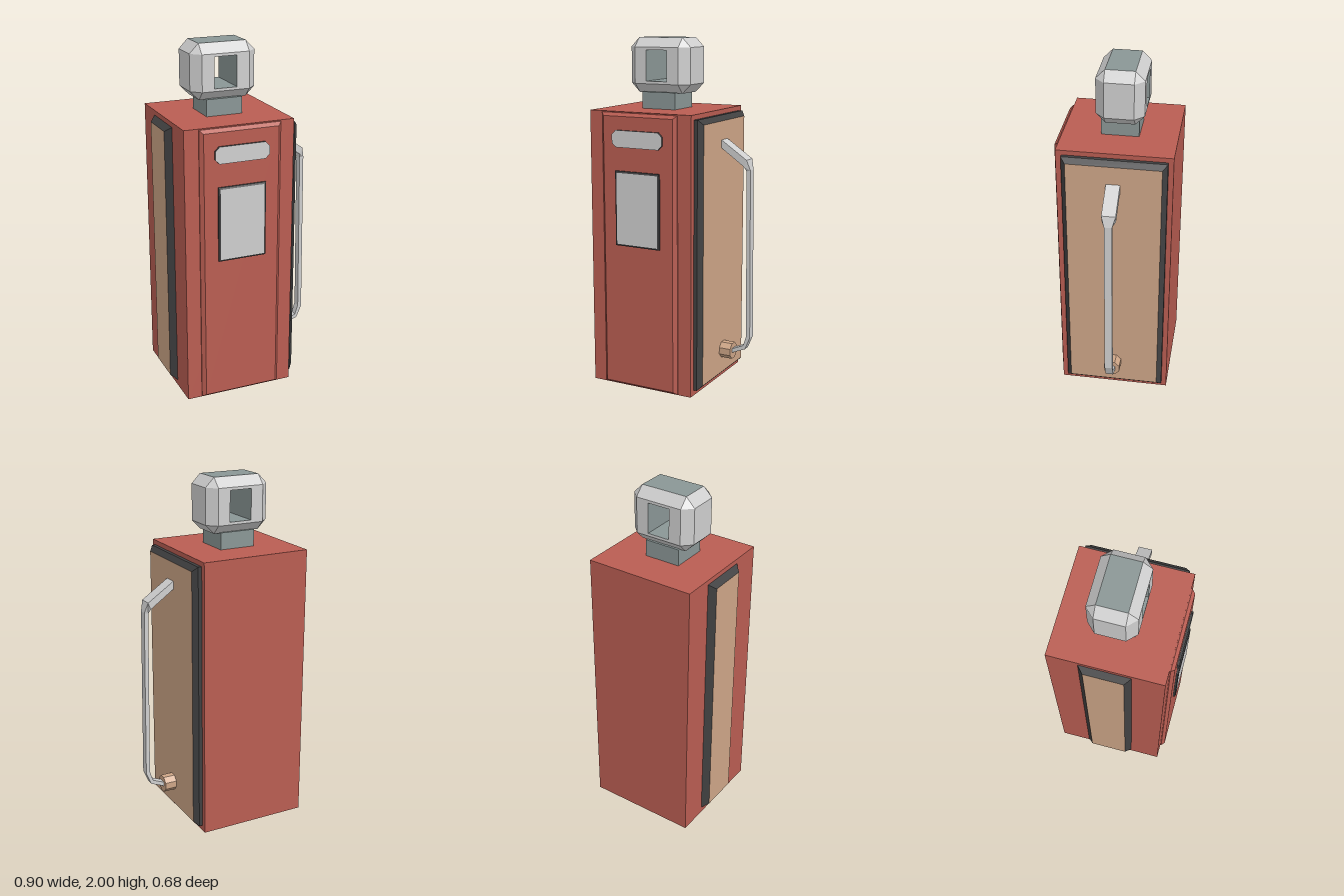
import * as THREE from 'three';

const mat = (name, color) => {
  const m = new THREE.MeshStandardMaterial({ color });
  m.name = name;
  return m;
};

// Ring of 8 points: a rectangle with corners cut by c, counter-clockwise, at depth z
function rect(x0, x1, y0, y1, z, c = 0) {
  return [
    [x0 + c, y0, z], [x1 - c, y0, z], [x1, y0 + c, z], [x1, y1 - c, z],
    [x1 - c, y1, z], [x0 + c, y1, z], [x0, y1 - c, z], [x0, y0 + c, z],
  ].map(p => new THREE.Vector3(...p));
}

// Flat-faced skin through rings; group 0 is the sides, group 1 the end caps
function loft(rings, { caps = true, skip = () => false, inward = false } = {}) {
  const pos = [];
  const tri = (a, b, c) => {
    if (new THREE.Triangle(a, b, c).getArea() < 1e-8) return;
    for (const v of inward ? [a, c, b] : [a, b, c]) pos.push(v.x, v.y, v.z);
  };
  const n = rings[0].length;
  for (let k = 0; k < rings.length - 1; k++) {
    for (let i = 0; i < n; i++) {
      if (skip(k, i)) continue;
      const j = (i + 1) % n, A = rings[k], B = rings[k + 1];
      tri(A[i], A[j], B[j]);
      tri(A[i], B[j], B[i]);
    }
  }
  const sideCount = pos.length / 3;
  if (caps) {
    const s = rings[0], e = rings[rings.length - 1];
    for (let i = 1; i < n - 1; i++) {
      tri(s[0], s[i + 1], s[i]);
      tri(e[0], e[i], e[i + 1]);
    }
  }
  const g = new THREE.BufferGeometry();
  g.setAttribute('position', new THREE.Float32BufferAttribute(pos, 3));
  g.addGroup(0, sideCount, 0);
  g.addGroup(sideCount, pos.length / 3 - sideCount, 1);
  g.computeVertexNormals();
  return g;
}

export function createModel() {
  const red = mat('red paint', 0xb95d52);
  const tan = mat('tan panel', 0xcda587);
  const dark = mat('dark trim', 0x404041);
  const grey = mat('light grey', 0xcfcfcf);
  const slate = mat('slate grey', 0x8a9695);

  const model = new THREE.Group();
  const add = (name, geometry, material, parent = model) => {
    const m = new THREE.Mesh(geometry, material);
    m.name = name;
    parent.add(m);
    return m;
  };

  // Cabinet
  add('cabinet', new THREE.BoxGeometry(0.64, 1.6, 0.64), red).position.set(-0.1, 0.8, -0.02);

  // Raised front panel with bevelled edge
  add('frontPanel', loft([
    rect(-0.337, 0.138, 0.005, 1.594, 0.29),
    rect(-0.337, 0.138, 0.005, 1.594, 0.306),
    rect(-0.318, 0.119, 0.02, 1.576, 0.325),
  ]), red);

  // Name plate and display window: dark rims with grey faces
  add('namePlate', loft([
    rect(-0.257, 0.059, 1.405, 1.5, 0.32, 0.024),
    rect(-0.257, 0.059, 1.405, 1.5, 0.338, 0.024),
  ]), [dark, grey]);
  add('displayWindow', loft([
    rect(-0.239, 0.04, 0.845, 1.272, 0.32),
    rect(-0.239, 0.04, 0.845, 1.272, 0.336),
    rect(-0.229, 0.03, 0.855, 1.262, 0.34),
  ]), [dark, grey]);

  // Side panels: dark bevelled frames with tan faces
  add('leftSidePanel', loft([
    rect(-0.267, 0.311, 0.033, 1.573, 0.21),
    rect(-0.267, 0.311, 0.033, 1.573, 0.241),
    rect(-0.241, 0.284, 0.058, 1.545, 0.266),
  ]), [dark, tan]).rotation.y = Math.PI / 2;
  add('rightSidePanel', loft([
    rect(-0.167, 0.122, 0.033, 1.573, 0.41),
    rect(-0.167, 0.122, 0.033, 1.573, 0.42),
    rect(-0.134, 0.089, 0.058, 1.545, 0.454),
  ]), [dark, tan]).rotation.y = -Math.PI / 2;

  // Neck
  add('neck', new THREE.BoxGeometry(0.21, 0.1, 0.21), slate).position.set(-0.1, 1.645, -0.02);

  // Head: chamfered block with a square opening from front to back
  const head = new THREE.Group();
  head.name = 'head';
  head.position.set(-0.1, 0, -0.025);
  model.add(head);
  const cut = 0.052, hx = 0.19, hz = 0.134, y1 = 1.742, y2 = 1.947;
  const ends = y => rect(-hx + cut, hx - cut, -hz + cut, hz - cut, y);
  const middle = y => rect(-hx, hx, -hz, hz, y, cut);
  add('headShell', loft([ends(1.69), middle(y1), middle(y2), ends(2)],
    { skip: (k, i) => k === 1 && i % 4 === 0 }), [grey, slate], head).rotation.x = -Math.PI / 2;

  const hole = [[-0.066, 1.757], [0.066, 1.757], [0.066, 1.931], [-0.066, 1.931]];
  const fx = hx - cut;
  const face = new THREE.Shape([[-fx, y1], [fx, y1], [fx, y2], [-fx, y2]]
    .map(p => new THREE.Vector2(...p)));
  face.holes.push(new THREE.Path(hole.map(p => new THREE.Vector2(...p))));
  const faceGeometry = new THREE.ShapeGeometry(face);
  for (const s of [1, -1]) {
    const f = add(s > 0 ? 'headFront' : 'headBack', faceGeometry, grey, head);
    f.position.z = s * hz;
    f.rotation.y = s > 0 ? 0 : Math.PI;
  }
  const holeRing = z => hole.map(([x, y]) => new THREE.Vector3(x, y, z));
  add('headOpening', loft([holeRing(-hz), holeRing(hz)], { caps: false, inward: true }),
    [slate, slate], head);

  // Hose: [outer x, outer y, inner x, inner y, half width] from handle to socket
  const hose = [
    [0.25, 1.45, 0.25, 1.405, 0.039],
    [0.42, 1.335, 0.405, 1.296, 0.039],
    [0.437, 1.275, 0.413, 1.27, 0.022],
    [0.448, 0.3, 0.425, 0.305, 0.022],
    [0.418, 0.227, 0.406, 0.247, 0.022],
    [0.325, 0.188, 0.325, 0.212, 0.022],
  ].map(([ox, oy, ix, iy, w]) => [
    [ox, oy, -w], [ix, iy, -w], [ix, iy, w], [ox, oy, w],
  ].map(p => new THREE.Vector3(...p)));
  add('hose', loft(hose, { inward: true }), [grey, grey]).position.z = -0.02;

  // Octagonal hose socket
  const socketGeometry = new THREE.CylinderGeometry(0.05, 0.05, 0.075, 8).toNonIndexed();
  socketGeometry.computeVertexNormals();
  const socket = add('hoseSocket', socketGeometry, tan);
  socket.rotation.set(Math.PI / 8, 0, -Math.PI / 2);
  socket.position.set(0.298, 0.2, -0.02);

  return model;
}
